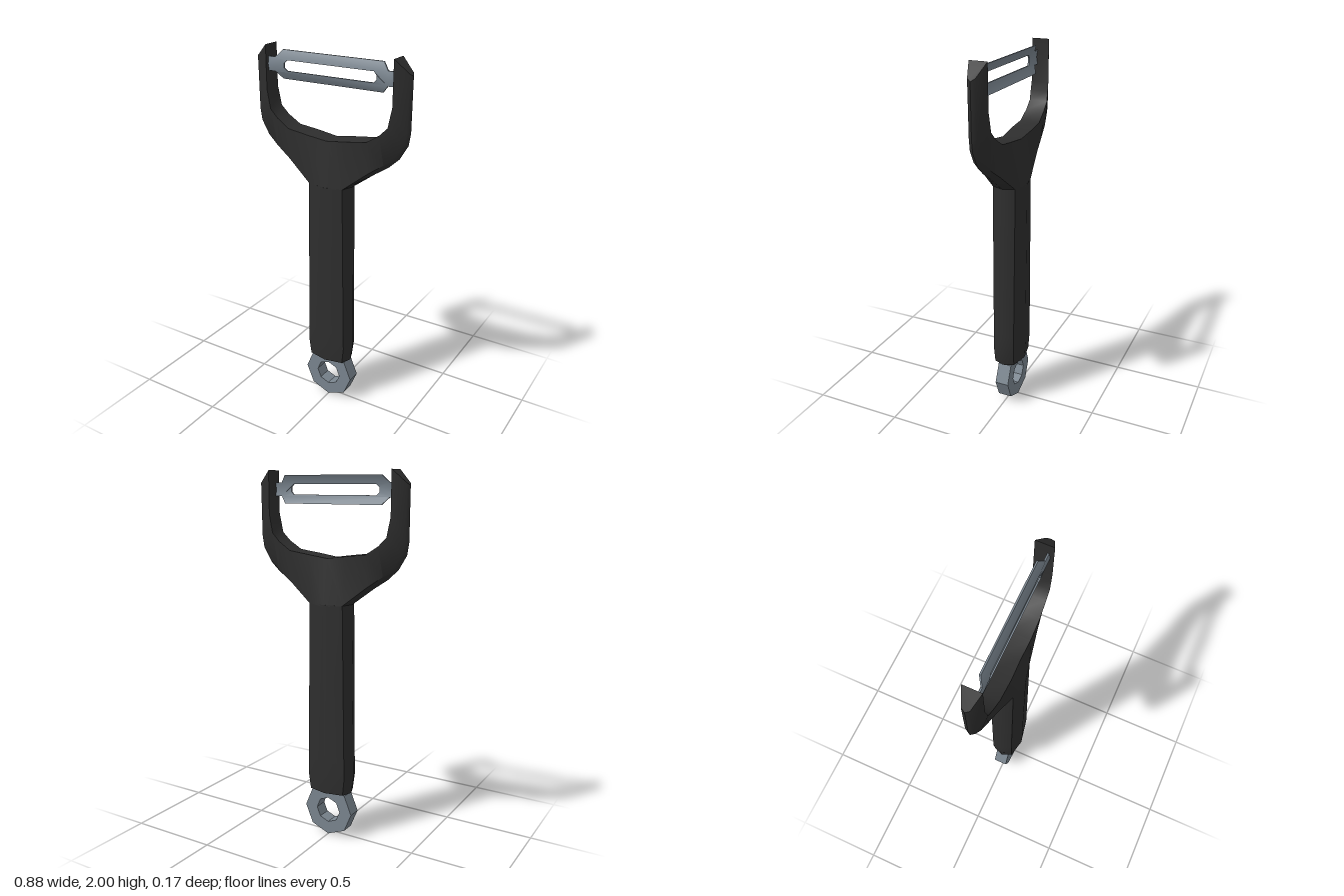
import * as THREE from 'three';
import { mergeVertices, toCreasedNormals } from 'three/addons/utils/BufferGeometryUtils.js';

// Closed skin over rings of equal point count, with fan caps on both ends
function loft(rings, crease) {
  const n = rings[0].length, pos = rings.flat(2), idx = [];
  for (let i = 0; i < rings.length - 1; i++) {
    for (let j = 0; j < n; j++) {
      const a = i * n + j, b = i * n + (j + 1) % n, c = a + n, d = b + n;
      idx.push(a, c, b, b, c, d);
    }
  }
  const last = (rings.length - 1) * n;
  for (let j = 1; j < n - 1; j++) {
    idx.push(0, j, j + 1);
    idx.push(last, last + j + 1, last + j);
  }
  const g = new THREE.BufferGeometry();
  g.setAttribute('position', new THREE.Float32BufferAttribute(pos, 3));
  g.setIndex(idx);
  return toCreasedNormals(g, crease);
}

const points = (list) => list.map(([x, y]) => new THREE.Vector2(x, y));

export function createModel() {
  const group = new THREE.Group();
  const black = new THREE.MeshStandardMaterial({ color: 0x2e2e2e });
  black.name = 'black plastic';
  const steel = new THREE.MeshStandardMaterial({ color: 0x7a858f });
  steel.name = 'steel grey';
  const add = (name, geometry, material) => {
    const mesh = new THREE.Mesh(geometry, material);
    mesh.name = name;
    group.add(mesh);
  };

  // Handle: eight-sided rounded grip, [y, half width, half depth]
  const grip = [[0.265, 0.125, 0.079], [0.36, 0.139, 0.083], [0.45, 0.137, 0.083], [1.32, 0.122, 0.086]];
  add('handle', loft(grip.map(([y, w, d]) => {
    const e = 0.82 * w, f = 0.73 * d;
    return [[w, 0], [e, f], [0, d], [-e, f], [-w, 0], [-e, -f], [0, -d], [e, -f]].map(([x, z]) => [x, y, z]);
  }), 0.9), black);

  // Fork: sections from the middle to the prong tip
  // [inner x, y, z, bevel x, y, z, outer x, y]
  const half = [
    [0, 1.558, 0.052, 0, 1.31, 0.086, 0, 1.31],
    [0.11, 1.573, 0.057, 0.1, 1.32, 0.063, 0.123, 1.32],
    [0.227, 1.588, 0.054, 0.235, 1.425, 0.042, 0.254, 1.415],
    [0.296, 1.632, 0.051, 0.315, 1.48, 0.032, 0.328, 1.463],
    [0.34, 1.675, 0.05, 0.372, 1.53, 0.027, 0.386, 1.516],
    [0.351, 1.73, 0.049, 0.417, 1.6, 0.022, 0.43, 1.59],
    [0.36, 1.775, 0.048, 0.428, 1.66, 0.02, 0.44, 1.655],
    [0.36, 2, 0.047, 0.43, 1.935, 0.02, 0.44, 1.923],
  ];
  const section = (s, side) => [
    [side * s[0], s[1], -s[2]], [side * s[3], s[4], -s[5]], [side * s[6], s[7], 0],
    [side * s[3], s[4], s[5]], [side * s[0], s[1], s[2]],
  ];
  const left = half.map((s) => section(s, 1));
  const right = half.slice(1).reverse().map((s) => section(s, -1));
  add('fork', loft([...right, ...left], 0.8), black);

  // Hanging ring: octagon with an octagonal hole
  const octagon = (r) => points(Array.from({ length: 8 }, (_, i) => {
    const a = i * Math.PI / 4;
    return [r * Math.cos(a), r * Math.sin(a)];
  }));
  const ringShape = new THREE.Shape(octagon(0.147));
  ringShape.holes.push(new THREE.Path(octagon(0.073)));
  const ring = new THREE.ExtrudeGeometry(ringShape, { depth: 0.076, bevelEnabled: false });
  ring.translate(0, 0.15, -0.04);
  add('hangingRing', ring, steel);

  // Blade: slotted sheet with end tabs, bowed towards the front
  const outline = [[0.286, -0.073], [0.32, -0.036], [0.362, -0.036], [0.362, 0], [0.362, 0.036], [0.32, 0.036], [0.286, 0.073]];
  const mirror = (list) => list.map(([x, y]) => [-x, y]).reverse();
  const bladeShape = new THREE.Shape(points([...outline, ...mirror(outline)]));
  const slot = [[0.246, -0.027], [0.262, -0.012], [0.262, 0.012], [0.246, 0.027]];
  bladeShape.holes.push(new THREE.Path(points([...slot, ...mirror(slot)])));
  let blade = new THREE.ExtrudeGeometry(bladeShape, { depth: 0.008, bevelEnabled: false });
  const p = blade.attributes.position;
  for (let i = 0; i < p.count; i++) {
    const t = p.getY(i) / 0.073;
    p.setZ(i, p.getZ(i) - 0.006 + 0.028 * (1 - t * t));
  }
  blade.deleteAttribute('normal');
  blade.deleteAttribute('uv');
  blade = toCreasedNormals(mergeVertices(blade), 0.7);
  blade.translate(0, 1.902, 0);
  add('blade', blade, steel);

  return group;
}
